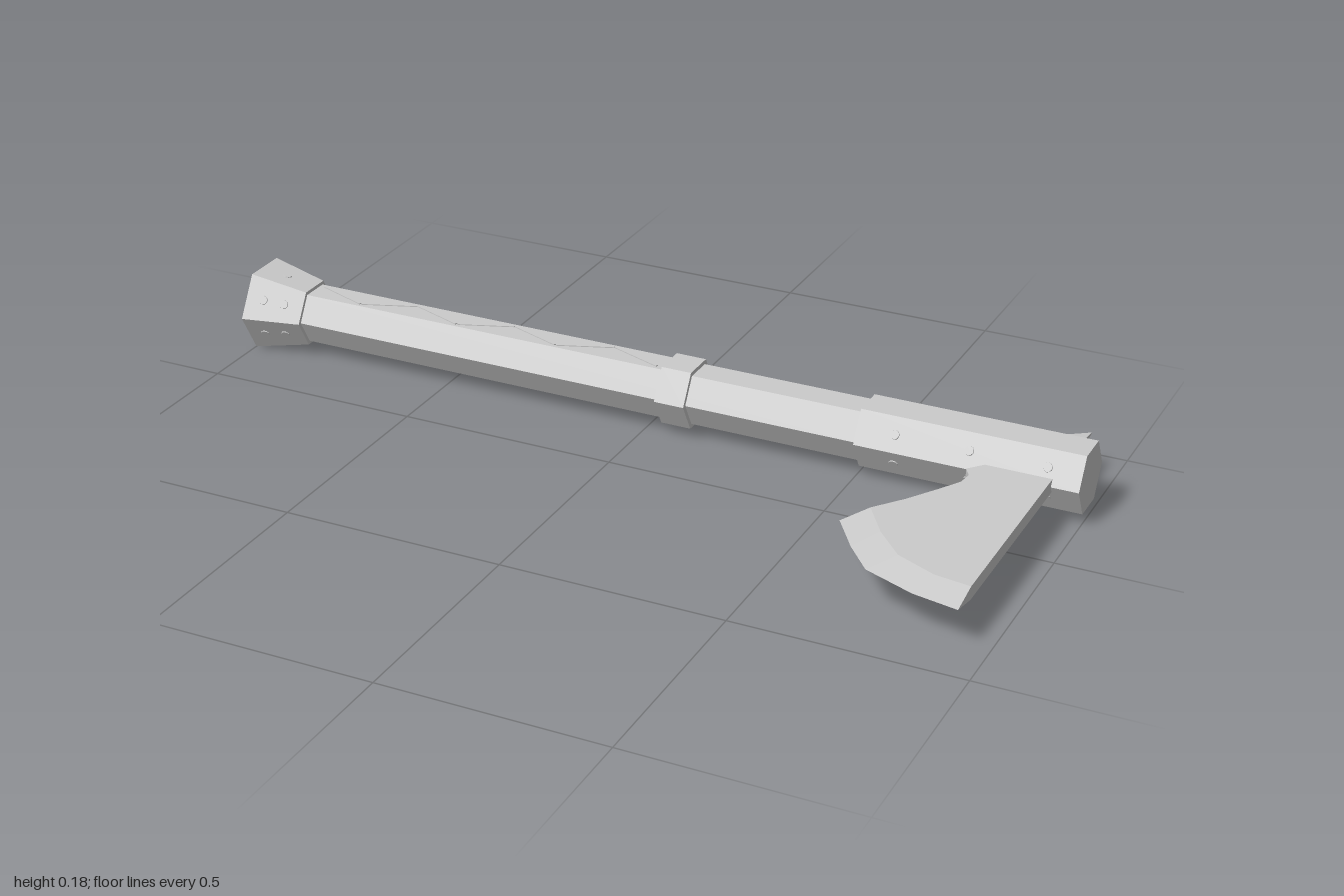
import * as THREE from 'three';

const AXIS_Y = 0.092, AXIS_Z = -0.218;
const mat = new THREE.MeshStandardMaterial({ color: 0xcccccc, flatShading: true });
const thinMat = new THREE.MeshStandardMaterial({ color: 0xcccccc, flatShading: true, side: THREE.DoubleSide });

function add(parent, name, geometry, material = mat) {
  const mesh = new THREE.Mesh(geometry, material);
  mesh.name = name;
  parent.add(mesh);
  return mesh;
}

// Six-sided section along x, with flats on top and bottom
function hexSection(parent, name, x0, x1, r0, r1 = r0) {
  const g = new THREE.CylinderGeometry(r1, r0, x1 - x0, 6).rotateZ(-Math.PI / 2);
  add(parent, name, g).position.x = (x0 + x1) / 2;
}

// Rivet on hex face k (0 = top), counted around the shaft
function rivet(parent, k, x, apothem, tilt = 0) {
  const face = new THREE.Group();
  face.name = 'rivetMount';
  face.rotation.x = k * Math.PI / 3;
  const m = add(face, 'rivet', new THREE.CylinderGeometry(0.01, 0.011, 0.004, 10));
  m.position.set(x, apothem, 0);
  m.rotation.z = -tilt;
  parent.add(face);
}

function triangles(points) {
  const g = new THREE.BufferGeometry();
  g.setAttribute('position', new THREE.Float32BufferAttribute(points.flat(), 3));
  g.computeVertexNormals();
  return g;
}

function buildShaft() {
  const shaft = new THREE.Group();
  shaft.name = 'shaft';
  shaft.position.set(0, AXIS_Y, AXIS_Z);
  hexSection(shaft, 'handle', -0.9, 0.55, 0.067);
  hexSection(shaft, 'pommel', -1, -0.865, 0.106, 0.076);
  hexSection(shaft, 'collar', 0.04, 0.11, 0.078);
  hexSection(shaft, 'headSocket', 0.505, 1, 0.078);

  // Rivets: pairs on the sloping pommel sides, threes along the socket
  for (let k = 0; k < 6; k++) {
    const flat = k % 3 === 0;
    for (const x of flat ? [-0.937] : [-0.96, -0.91]) {
      rivet(shaft, k, x, 0.0918 - (x + 1) * 0.192, 0.19);
    }
    if (!flat) for (const x of [0.59, 0.755, 0.925]) rivet(shaft, k, x, 0.0675);
  }

  // Shallow zigzag ridges on the top and bottom of the grip
  for (const side of [1, -1]) {
    for (let i = 0; i < 7; i++) {
      const ridge = add(shaft, 'gripRidge', new THREE.BoxGeometry(0.13, 0.004, 0.006));
      ridge.position.set(-0.79 + i * 0.125, side * 0.058, 0);
      ridge.rotation.y = (i % 2 ? 1 : -1) * 0.36;
    }
  }
  return shaft;
}

function buildBlade() {
  const blade = new THREE.Group();
  blade.name = 'blade';
  blade.position.y = AXIS_Y;
  const half = 0.015;
  // Outlines as [x, z]: shoulder of the bevel, cutting edge, inner curve
  const shoulder = [[0.94, 0.342], [0.86, 0.33], [0.77, 0.288], [0.705, 0.215], [0.65, 0.13]];
  const edge = [[0.94, 0.413], [0.84, 0.393], [0.725, 0.345], [0.665, 0.272], [0.605, 0.182]];
  const neck = [[0.7, 0.065], [0.745, -0.005], [0.775, -0.055], [0.78, -0.09],
    [0.765, -0.115], [0.795, -0.15], [0.795, -0.2], [0.94, -0.2]];
  const shape = new THREE.Shape([...shoulder, ...neck].map(([x, z]) => new THREE.Vector2(x, z)));
  const body = new THREE.ExtrudeGeometry(shape, { depth: half * 2, bevelEnabled: false });
  add(blade, 'bladeBody', body.rotateX(Math.PI / 2).translate(0, half, 0));

  // Bevel narrowing to the cutting edge, closed at both ends
  const top = shoulder.map(([x, z]) => [x, half, z]);
  const low = shoulder.map(([x, z]) => [x, -half, z]);
  const tip = edge.map(([x, z]) => [x, 0, z]);
  const tris = [];
  for (let i = 0; i < tip.length - 1; i++) {
    const j = i + 1;
    tris.push(top[i], top[j], tip[i], top[j], tip[j], tip[i]);
    tris.push(low[i], tip[i], low[j], low[j], tip[i], tip[j]);
  }
  const e = tip.length - 1;
  tris.push(top[0], tip[0], low[0], top[e], low[e], tip[e]);
  add(blade, 'cuttingEdge', triangles(tris), thinMat);
  return blade;
}

// Back spike: a wedge tapering to a fine point
function buildSpike(group) {
  const a = 0.015, b = 0.002;
  const z0 = -0.285, z1 = -0.414;
  const p = [[0.8, a, z0], [0.94, a, z0], [0.94, b, z1]];
  const q = p.map(([x, y, z]) => [x, -y, z]);
  const tris = [p[0], p[1], p[2], q[0], q[2], q[1]];
  for (let i = 0; i < 3; i++) {
    const j = (i + 1) % 3;
    tris.push(p[i], q[i], p[j], p[j], q[i], q[j]);
  }
  add(group, 'backSpike', triangles(tris), thinMat).position.y = AXIS_Y;
}

export function createModel() {
  const model = new THREE.Group();
  model.name = 'axe';
  model.add(buildShaft(), buildBlade());
  buildSpike(model);
  return model;
}
